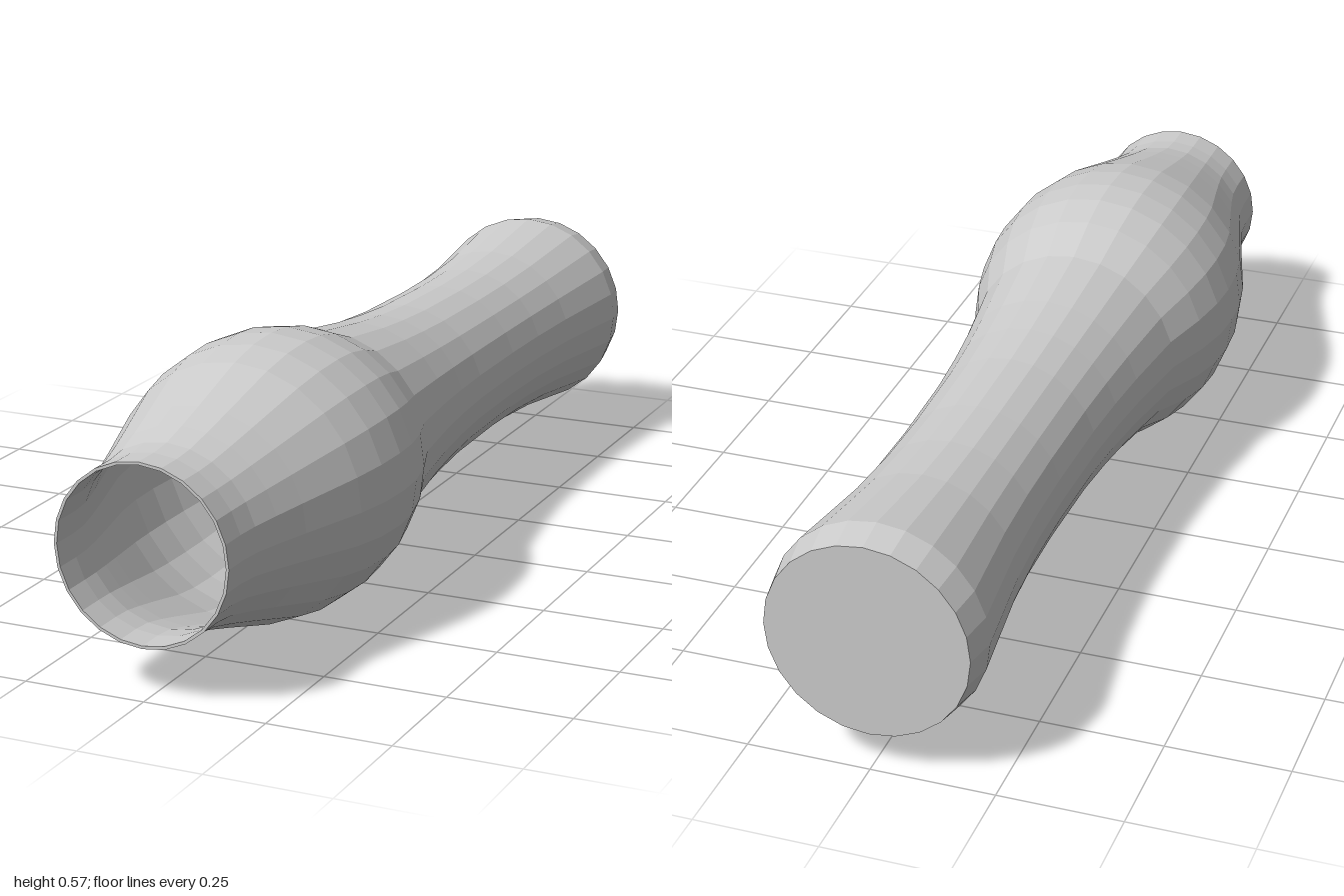
import * as THREE from 'three';

const SIDES = 24, AXIS_Y = 0.284, WALL = 0.006;
const material = new THREE.MeshStandardMaterial({ color: 0xcccccc, flatShading: true });

// Outer profiles as [radius, z], running from back to front
const shaft = [[0.204, -1], [0.217, -0.93], [0.204, -0.82], [0.19, -0.7], [0.181, -0.55], [0.179, -0.4],
  [0.183, -0.2], [0.191, -0.08], [0.202, 0.03], [0.226, 0.2]];
const bulb = [[0.226, 0.2], [0.261, 0.3], [0.279, 0.38], [0.284, 0.45], [0.28, 0.53], [0.265, 0.61],
  [0.241, 0.69], [0.22, 0.76], [0.2, 0.83], [0.185, 0.89], [0.18, 0.94], [0.18, 1]];

// Turns a profile around the z axis
function turned(name, profile) {
  const geometry = new THREE.LatheGeometry(profile.map(([r, z]) => new THREE.Vector2(r, z)), SIDES);
  geometry.rotateX(Math.PI / 2);
  const mesh = new THREE.Mesh(geometry, material);
  mesh.name = name;
  mesh.position.y = AXIS_Y;
  return mesh;
}

export function createModel() {
  const group = new THREE.Group();
  group.name = 'hollowHandle';

  // Shaft with its closed back end, and the swollen front section
  group.add(turned('shaft', [[0, -1], ...shaft]));
  group.add(turned('bulb', bulb));

  // Thin rim and the inner wall, running front to back and ending in a floor
  const inner = [...shaft, ...bulb.slice(1)].map(([r, z]) => [r - WALL, Math.max(z, -1 + WALL)]).reverse();
  group.add(turned('rim', [[0.18, 1], inner[0]]));
  group.add(turned('innerWall', [...inner, [0, -1 + WALL]]));
  return group;
}
